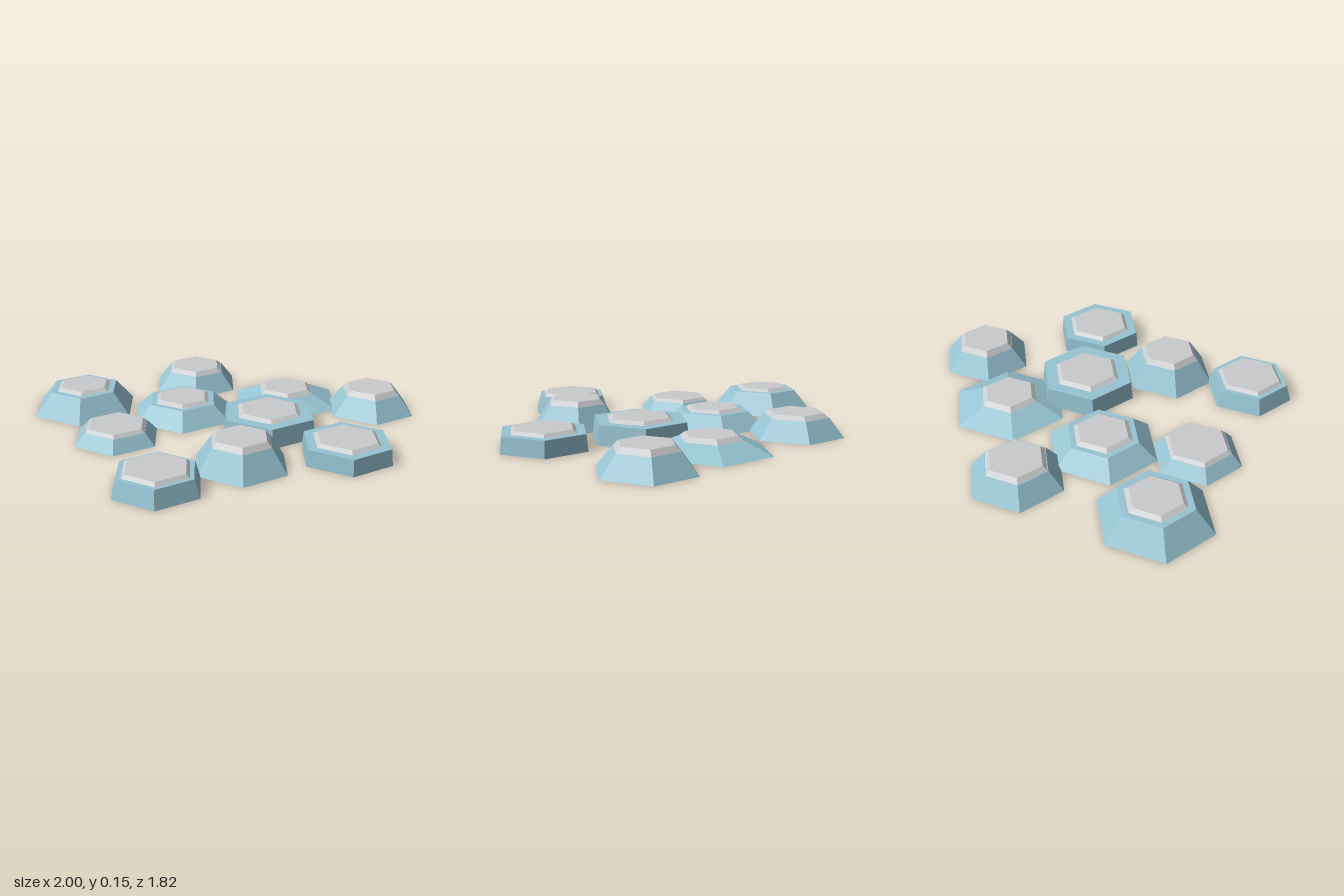
import * as THREE from 'three';

// One stone per row: x, z, base radius, shoulder radius, shoulder height,
// cap lower radius, cap upper radius, cap top height
const STONES = [
  [-0.75, -0.32, 0.286, 0.188, 0.115, 0.154, 0.13, 0.131],
  [-0.15, -0.668, 0.245, 0.168, 0.096, 0.164, 0.139, 0.117],
  [-0.217, -0.21, 0.285, 0.188, 0.083, 0.157, 0.133, 0.099],
  [0.345, -0.39, 0.302, 0.159, 0.062, 0.157, 0.13, 0.083],
  [0.79, -0.255, 0.241, 0.16, 0.1, 0.158, 0.133, 0.126],
  [-0.545, 0.115, 0.227, 0.171, 0.061, 0.169, 0.15, 0.077],
  [0.225, 0.02, 0.26, 0.247, 0.098, 0.179, 0.154, 0.114],
  [0.066, 0.45, 0.242, 0.16, 0.121, 0.159, 0.135, 0.147],
  [0.574, 0.363, 0.234, 0.225, 0.083, 0.176, 0.155, 0.099],
  [-0.32, 0.68, 0.225, 0.197, 0.088, 0.173, 0.155, 0.104],
];

// Six-sided frustum between two heights, with corners along z
function hexFrustum(name, rBottom, rTop, y0, y1, material) {
  const geometry = new THREE.CylinderGeometry(rTop, rBottom, y1 - y0, 6).toNonIndexed();
  geometry.translate(0, (y0 + y1) / 2, 0);
  geometry.computeVertexNormals(); // flat facets
  const mesh = new THREE.Mesh(geometry, material);
  mesh.name = name;
  return mesh;
}

export function createModel() {
  const blue = new THREE.MeshStandardMaterial({ name: 'pale blue', color: 0x97c4d3 });
  const grey = new THREE.MeshStandardMaterial({ name: 'light grey', color: 0xc9cbcd });

  const model = new THREE.Group();
  model.name = 'hexagonalStones';
  STONES.forEach(([x, z, rBase, rShoulder, shoulderY, rCap, rTop, topY], i) => {
    const stone = new THREE.Group();
    stone.name = `stone${i + 1}`;
    stone.position.set(x, 0, z);
    // sloping body and raised bevelled cap
    stone.add(hexFrustum('body', rBase, rShoulder, 0, shoulderY, blue));
    stone.add(hexFrustum('cap', rCap, rTop, shoulderY, topY, grey));
    model.add(stone);
  });
  return model;
}
